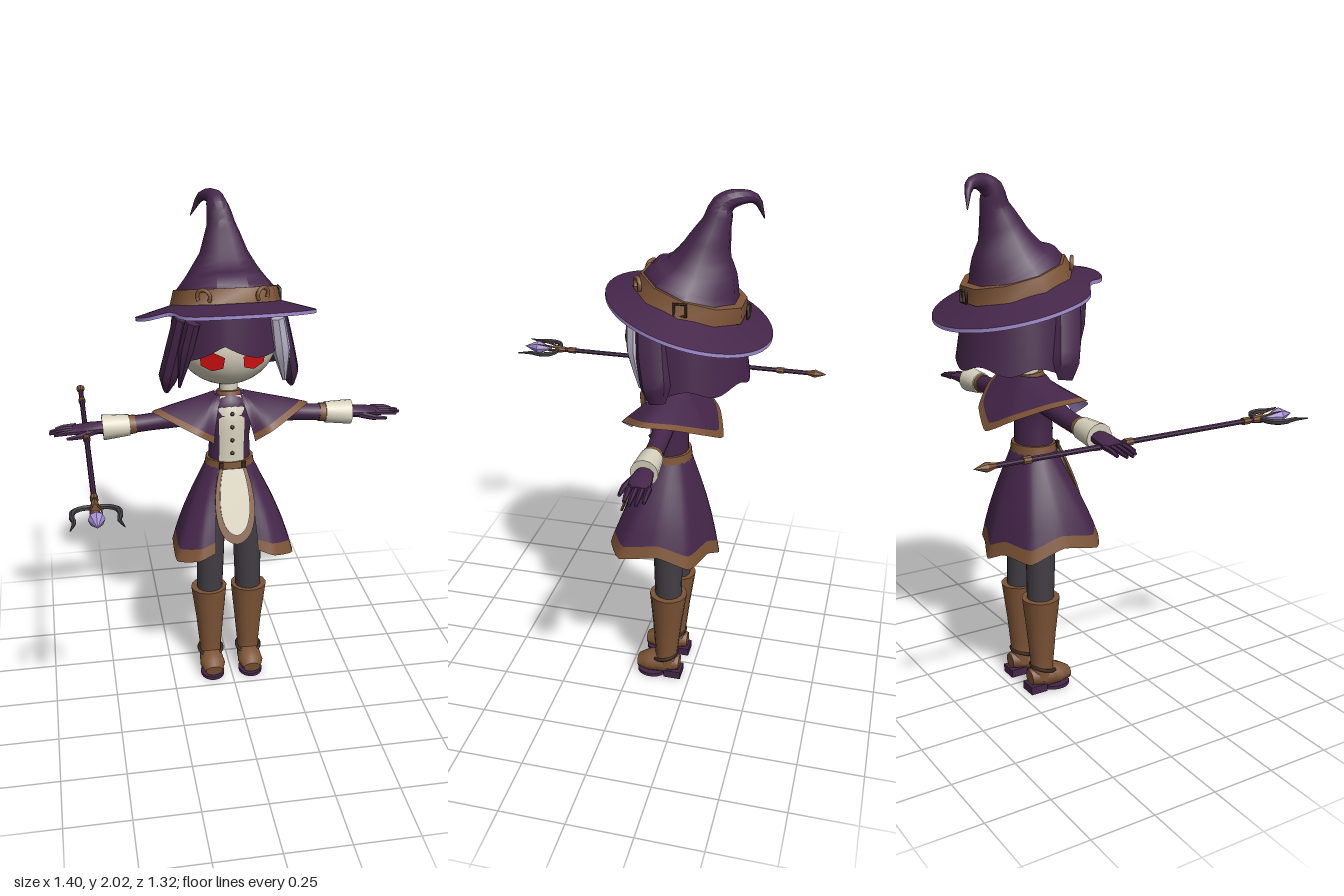
import * as THREE from 'three';
import { toCreasedNormals } from 'three/addons/utils/BufferGeometryUtils.js';

const V = (x, y, z) => new THREE.Vector3(x, y, z);
const paint = (name, color, side = THREE.FrontSide) =>
  Object.assign(new THREE.MeshStandardMaterial({ color, side }), { name });

export function createModel() {
  const root = new THREE.Group();
  root.name = 'hatWearer';
  const purple = paint('purple cloth', 0x45264a);
  const brown = paint('brown leather', 0x7d5436);
  const cream = paint('cream', 0xd8d2be);
  const lavender = paint('lavender lining', 0xa48fd2);
  const pale = paint('pale streak', 0xb9b4c8);
  const grey = paint('grey stocking', 0x423e44);
  const red = paint('red eye', 0xe01212, THREE.DoubleSide);
  const dark = paint('dark brown', 0x3a281f);

  const add = (name, geo, mat, x = 0, y = 0, z = 0) => {
    const m = new THREE.Mesh(geo, mat);
    m.name = name;
    m.position.set(x, y, z);
    root.add(m);
    return m;
  };

  // Grid surface: u runs anticlockwise about +y, v runs upwards
  const surface = (name, nu, nv, f, mat, flip = false) => {
    const pos = [], idx = [];
    for (let j = 0; j <= nv; j++)
      for (let i = 0; i <= nu; i++) pos.push(...f(i / nu, j / nv).toArray());
    for (let j = 0; j < nv; j++)
      for (let i = 0; i < nu; i++) {
        const a = j * (nu + 1) + i, b = a + 1, c = b + nu + 1, d = a + nu + 1;
        if (flip) idx.push(a, c, b, a, d, c);
        else idx.push(a, b, c, a, c, d);
      }
    const g = new THREE.BufferGeometry();
    g.setAttribute('position', new THREE.Float32BufferAttribute(pos, 3));
    g.setIndex(idx);
    return add(name, toCreasedNormals(g, 0.65), mat);
  };

  // Capped tube along points; each radius is a number or [along normal, across]
  const taper = (name, pts, radii, mat, sides = 10, sub = 3) => {
    const curve = new THREE.CatmullRomCurve3(pts.map(p => V(...p)));
    const n = (pts.length - 1) * sub;
    const rad = radii.map(r => (Array.isArray(r) ? r : [r, r]));
    const rows = [];
    let N = null;
    for (let j = 0; j <= n; j++) {
      const t = j / n, T = curve.getTangent(t), c = curve.getPoint(t);
      if (!N) N = Math.abs(T.y) > 0.7 ? V(1, 0, 0) : V(0, 1, 0);
      N = N.clone().addScaledVector(T, -N.dot(T)).normalize();
      const k = Math.min(Math.floor(j / sub), rad.length - 2), w = j / sub - k;
      const mix = q => rad[k][q] * (1 - w) + rad[k + 1][q] * w;
      rows.push({ c, N, B: T.clone().cross(N), a: mix(0), b: mix(1) });
    }
    rows.unshift({ ...rows[0], a: 0, b: 0 });
    rows.push({ ...rows[rows.length - 1], a: 0, b: 0 });
    return surface(name, sides, rows.length - 1, (u, v) => {
      const r = rows[Math.round(v * (rows.length - 1))], q = u * Math.PI * 2;
      return r.c.clone().addScaledVector(r.N, Math.cos(q) * r.a).addScaledVector(r.B, Math.sin(q) * r.b);
    }, mat);
  };

  // Open-fronted garment between a shaped hem and an elliptical top, trimmed and lined
  const drape = (name, half, top, a0, bulge, trim) => {
    const pts = half.map(p => V(...p));
    const hem = new THREE.CatmullRomCurve3(
      pts.concat(pts.slice(0, -1).reverse().map(p => V(-p.x, p.y, p.z))), false, 'catmullrom', 0.25);
    const f = (u, v) => {
      const a = a0 + u * (Math.PI * 2 - 2 * a0);
      const p = hem.getPoint(u).lerp(V(Math.sin(a) * top.rx, top.y, top.z + Math.cos(a) * top.rz), v);
      const k = 1 + bulge * Math.sin(Math.PI * v);
      return V(p.x * k, p.y, top.z + (p.z - top.z) * k);
    };
    surface(name + 'Trim', 48, 1, (u, v) => f(u, v * trim), brown);
    surface(name, 48, 6, (u, v) => f(u, trim + v * (1 - trim)), purple);
    surface(name + 'Lining', 48, 6, (u, v) => {
      const p = f(u, v);
      return V(p.x * 0.98, p.y - 0.004, top.z + (p.z - top.z) * 0.98);
    }, lavender, true);
  };

  // Hat brim: tilted, with a fold at the front right
  const brim = (u, v, drop) => {
    const a = u * Math.PI * 2, d = (a - Math.PI * 2 * 0.862) / 0.2;
    const fold = Math.exp(-d * d);
    const k = 0.57 + 0.43 * v - 0.13 * fold * v;
    const x = Math.sin(a) * 0.347 * k, z = -0.2 + Math.cos(a) * 0.302 * k;
    return V(x, 1.575 + 0.27 * (z + 0.2) + 0.045 * (1 - v) + 0.02 * fold * v - drop, z);
  };
  surface('hatBrim', 56, 4, (u, v) => brim(u, v, 0), purple, true);
  surface('hatBrimLining', 56, 2, (u, v) => brim(u, Math.min(1, v * 2), v > 0.9 ? 0 : 0.014), lavender);

  // Hat crown with a drooping tip, band and fittings
  taper('hatCrown', [[0, 1.61, -0.2], [0, 1.67, -0.215], [0, 1.72, -0.235], [0, 1.8, -0.255], [-0.005, 1.9, -0.288],
    [-0.015, 1.96, -0.305], [-0.022, 1.985, -0.345], [-0.06, 1.978, -0.41], [-0.1, 1.9, -0.44]],
  [0.205, 0.188, 0.145, 0.092, 0.054, 0.042, 0.032, 0.018, 0.002], purple, 10);
  taper('hatBand', [[0, 1.615, -0.2], [0, 1.67, -0.215]], [0.216, 0.2], brown, 10, 1);
  for (const [deg, ring] of [[90, 0], [180, 0], [32, 1], [-32, 1]]) {
    const a = deg * Math.PI / 180, z = -0.207 + Math.cos(a) * 0.207;
    const g = ring ? new THREE.TorusGeometry(0.026, 0.008, 6, 12, Math.PI * 1.4).rotateZ(-0.6)
      : new THREE.TorusGeometry(0.03, 0.006, 4, 4).rotateZ(Math.PI / 4);
    const m = add(ring ? 'hatRing' : 'hatBuckle', g, ring ? brown : dark, Math.sin(a) * 0.207, 1.645 + 0.27 * (z + 0.2), z);
    m.rotation.y = a;
  }

  // Head and eyes
  add('head', new THREE.SphereGeometry(1, 28, 20).scale(0.195, 0.175, 0.175), cream, 0, 1.475, -0.19);
  for (const s of [-1, 1]) {
    const eye = new THREE.Shape([[-0.045, 0.02], [0, 0.04], [0.045, 0.025], [0.04, -0.02], [0, -0.04], [-0.04, -0.025]]
      .map(([x, y]) => new THREE.Vector2(x * s + s * 0.08, y + 1.44)));
    const g = new THREE.ShapeGeometry(eye), p = g.attributes.position;
    for (let i = 0; i < p.count; i++) {
      const q = 1 - (p.getX(i) / 0.195) ** 2 - ((p.getY(i) - 1.475) / 0.175) ** 2;
      p.setZ(i, -0.182 + 0.175 * Math.sqrt(q));
    }
    g.computeVertexNormals();
    add('eye', g, red);
  }

  // Hair: back shell, fringe and side locks
  const hair = (name, a0, a1, low, flare) => {
    const f = (u, v) => {
      const a = a0 + u * (a1 - a0), k = 1 + flare * (1 - v);
      const x = Math.sin(a) * 0.205 * k, z = -0.19 + Math.cos(a) * 0.205 * k;
      const y1 = 1.605 + 0.27 * (z + 0.2), y0 = low(a);
      return V(x, y0 + (y1 - y0) * v, z);
    };
    surface(name, 40, 5, f, purple);
    surface(name + 'Inside', 40, 5, (u, v) => f(u, v).sub(V(0, 0, -0.19)).multiply(V(0.97, 1, 0.97)).add(V(0, 0, -0.19)), purple, true);
  };
  hair('backHair', 1.15, Math.PI * 2 - 1.15, a => 1.335 + 0.014 * Math.cos(a * 7), 0.16);
  hair('fringe', -1.2, 1.2, a => 1.52 - 0.05 * Math.abs(Math.sin(a * 2.6 + 0.5)) - 0.03 * a * a, 0.1);
  for (const s of [-1, 1])
    taper('sideLock', [[s * 0.185, 1.6, -0.1], [s * 0.21, 1.48, -0.11], [s * 0.235, 1.36, -0.13], [s * 0.245, 1.3, -0.14]],
      [[0.03, 0.06], [0.035, 0.06], [0.038, 0.055], [0.012, 0.03]], purple, 8);
  taper('frontLock', [[-0.15, 1.6, -0.03], [-0.175, 1.48, -0.05], [-0.2, 1.33, -0.08]],
    [[0.03, 0.035], [0.03, 0.03], 0.006], purple, 8);
  taper('paleStreak', [[0.165, 1.6, -0.04], [0.185, 1.47, -0.045], [0.205, 1.34, -0.07]],
    [[0.03, 0.035], [0.036, 0.032], 0.008], pale, 8);

  // Torso, collar, shirt front and belt
  taper('torso', [[0, 0.98, -0.135], [0, 1.1, -0.135], [0, 1.2, -0.135], [0, 1.25, -0.137], [0, 1.28, -0.14]],
    [[0.085, 0.072], [0.08, 0.07], [0.098, 0.072], [0.075, 0.062], [0.04, 0.04]], purple, 20);
  taper('collar', [[0, 1.25, -0.14], [0, 1.285, -0.145]], [0.055, 0.047], brown, 16, 1);
  add('neck', new THREE.CylinderGeometry(0.036, 0.036, 0.08, 14), cream, 0, 1.3, -0.15);
  surface('shirtFront', 8, 6, (u, v) => {
    const x = (u - 0.5) * 0.1, w = Math.max(0, v - 0.7) / 0.3;
    return V(x, 0.99 + v * 0.285, -0.058 - 6 * x * x - 0.035 * w * w);
  }, cream);
  for (let i = 0; i < 4; i++) add('button', new THREE.SphereGeometry(0.008, 8, 6), dark, 0, 1.215 - i * 0.055, -0.056);
  taper('belt', [[0, 0.975, -0.135], [0, 1.012, -0.135]], [[0.1, 0.086], [0.094, 0.082]], brown, 20, 1);
  for (const s of [-1, 1]) add('beltClasp', new THREE.BoxGeometry(0.016, 0.03, 0.012), dark, s * 0.045, 0.997, -0.055);

  // Shoulder cape and coat skirt
  drape('cape', [[0.08, 1.12, 0], [0.15, 1.17, 0.02], [0.305, 1.23, -0.09], [0.24, 1.2, -0.2], [0.13, 1.14, -0.3], [0, 1.08, -0.34]],
    { rx: 0.058, rz: 0.055, y: 1.275, z: -0.14 }, 0.75, 0.04, 0.15);
  drape('skirt', [[0.085, 0.67, 0.055], [0.15, 0.645, 0.065], [0.235, 0.625, 0.01], [0.235, 0.65, -0.14], [0.2, 0.595, -0.26],
    [0.08, 0.605, -0.31], [0, 0.57, -0.34]], { rx: 0.09, rz: 0.078, y: 1, z: -0.135 }, 0.65, 0.07, 0.13);

  // Sloping front apron with a leather border
  const apron = (name, w, len, depth, mat) => {
    const s = new THREE.Shape();
    s.moveTo(-w * 0.65, 0);
    s.bezierCurveTo(-w * 1.05, -len * 0.35, -w * 1.2, -len * 0.95, 0, -len);
    s.bezierCurveTo(w * 1.2, -len * 0.95, w * 1.05, -len * 0.35, w * 0.65, 0);
    const g = new THREE.ExtrudeGeometry(s, { depth, bevelEnabled: false, curveSegments: 14 });
    add(name, g, mat, 0, 0.985, -0.052).rotation.x = -0.37;
  };
  apron('apronBorder', 0.083, 0.3, 0.008, brown);
  apron('apron', 0.062, 0.265, 0.014, cream);

  for (const s of [-1, 1]) {
    // Arm, cuff and hand
    taper('sleeve', [[s * 0.07, 1.195, -0.145], [s * 0.18, 1.18, -0.15], [s * 0.3, 1.165, -0.155], [s * 0.4, 1.157, -0.155]],
      [0.045, 0.04, 0.034, 0.034], purple, 12);
    taper('sleeveBand', [[s * 0.365, 1.16, -0.155], [s * 0.4, 1.157, -0.155]], [0.037, 0.038], brown, 12, 1);
    taper('cuff', [[s * 0.39, 1.158, -0.155], [s * 0.495, 1.153, -0.155]], [0.042, 0.05], cream, 14, 1);
    taper('palm', [[s * 0.48, 1.153, -0.157], [s * 0.54, 1.152, -0.158], [s * 0.61, 1.148, -0.163]],
      [[0.024, 0.03], [0.022, 0.04], [0.013, 0.04]], purple, 10);
    [0.682, 0.7, 0.698, 0.675].forEach((x, i) => {
      const z = -0.132 - i * 0.022;
      taper('finger', [[s * 0.595, 1.15, z], [s * 0.645, 1.147, z - 0.001], [s * x, 1.14, z - 0.002]], [0.011, 0.01, 0.006], purple, 6, 2);
    });
    taper('thumb', [[s * 0.53, 1.148, -0.13], [s * 0.58, 1.14, -0.11], [s * 0.635, 1.135, -0.105]], [0.014, 0.012, 0.006], purple, 6, 2);

    // Leg, boot and shoe
    const x = s * 0.082;
    taper('stocking', [[s * 0.075, 0.8, -0.15], [s * 0.077, 0.6, -0.15], [x, 0.36, -0.155]], [0.06, 0.058, 0.053], grey, 14);
    taper('bootShaft', [[x, 0.05, -0.15], [x, 0.12, -0.15], [x, 0.25, -0.152], [x * 1.03, 0.4, -0.155]],
      [0.046, 0.046, 0.058, 0.075], brown, 14);
    taper('bootFoot', [[x, 0.06, -0.205], [x, 0.062, -0.14], [x, 0.054, -0.08], [x, 0.045, -0.035]],
      [[0.03, 0.03], [0.052, 0.048], [0.042, 0.053], [0.025, 0.036]], brown, 12);
    add('sole', new THREE.CylinderGeometry(1, 1, 0.014, 18).scale(0.05, 1, 0.06), purple, x, 0.009, -0.09);
    add('heel', new THREE.BoxGeometry(0.07, 0.032, 0.07), purple, x, 0.016, -0.18);
    const strap = add('ankleStrap', new THREE.TorusGeometry(0.05, 0.007, 6, 18).rotateX(Math.PI / 2), dark, x, 0.095, -0.145);
    strap.rotation.x = 0.25;
  }

  // Staff held level, pointing forwards
  const sx = -0.56, sy = 1.142;
  const rod = (name, z0, z1, r0, r1, mat) =>
    taper(name, [[sx, sy, z0], [sx, sy, z1]], [r0, r1], mat, 8, 1);
  rod('staffShaft', -0.62, 0.5, 0.01, 0.01, purple);
  for (const z of [-0.475, -0.08, 0.435]) rod('staffFerrule', z - 0.015, z + 0.015, 0.014, 0.014, brown);
  rod('staffSpikeTip', -0.665, -0.62, 0.001, 0.018, brown);
  rod('staffSpikeBase', -0.62, -0.59, 0.018, 0.01, brown);
  rod('staffSocket', 0.465, 0.51, 0.012, 0.018, brown);
  rod('crystalBase', 0.53, 0.59, 0.004, 0.029, lavender);
  rod('crystalPoint', 0.59, 0.65, 0.029, 0.001, lavender);
  for (const s of [-1, 1]) {
    taper('staffProng', [[0.008, 0.5], [0.045, 0.502], [0.075, 0.525], [0.08, 0.565], [0.074, 0.6], [0.088, 0.655]]
      .map(([x, z]) => [sx + s * x, sy, z]), [0.01, 0.01, 0.01, 0.01, 0.008, 0.002], grey, 6);
    for (const t of [-1, 1])
      taper('crystalClaw', [[sx + s * 0.008, sy + t * 0.008, 0.5], [sx + s * 0.016, sy + t * 0.016, 0.54], [sx + s * 0.02, sy + t * 0.02, 0.585]],
        [0.004, 0.004, 0.002], brown, 5, 2);
  }
  return root;
}
